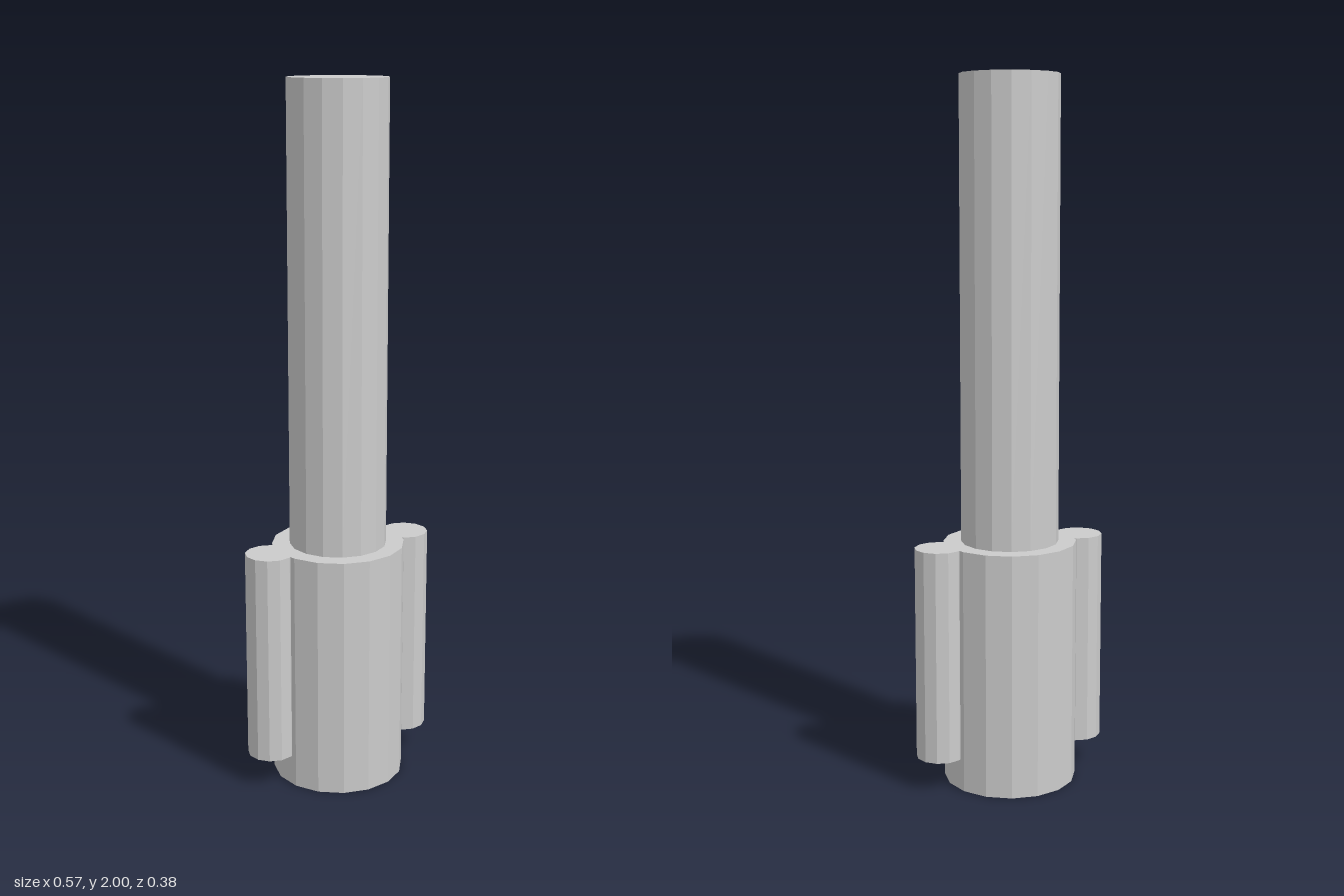
import * as THREE from 'three';

const material = new THREE.MeshStandardMaterial({ color: 0xcccccc, flatShading: true });

// Upright faceted cylinder spanning bottom..top
function post(name, radius, bottom, top, sides, x = 0) {
  const geometry = new THREE.CylinderGeometry(radius, radius, top - bottom, sides);
  const mesh = new THREE.Mesh(geometry, material);
  mesh.name = name;
  mesh.position.set(x, (bottom + top) / 2, 0);
  return mesh;
}

export function createModel() {
  const group = new THREE.Group();
  group.name = 'keyedPin';

  // Thick base and the long shaft standing on it
  group.add(post('base', 0.19, 0, 0.7, 16));
  group.add(post('shaft', 0.139, 0.7, 2, 16));

  // Round lugs merged into both sides of the base, stopping short of its foot
  for (const side of [1, -1]) {
    group.add(post(side > 0 ? 'leftLug' : 'rightLug', 0.069, 0.09, 0.7, 12, side * 0.218));
  }
  return group;
}
